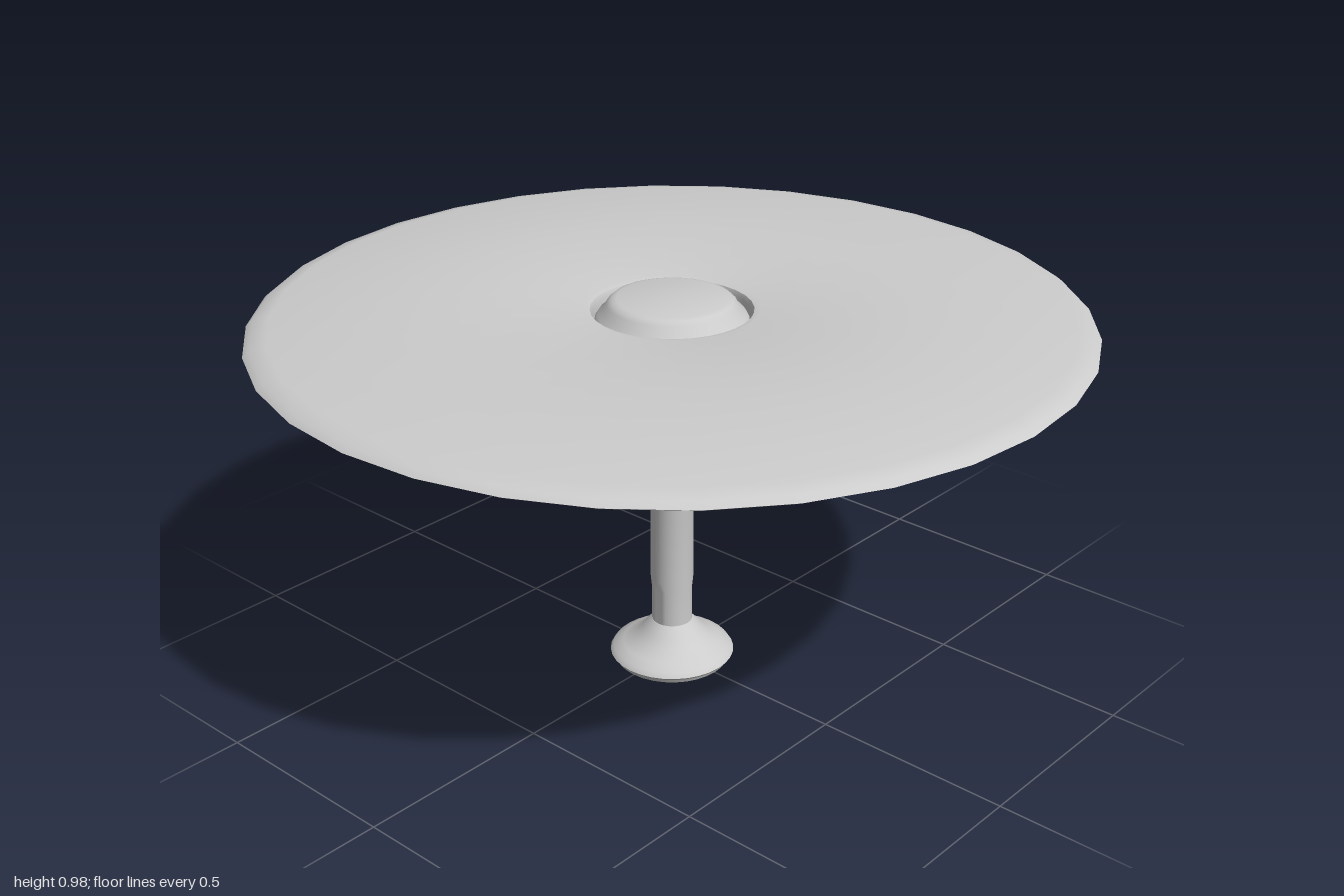
import * as THREE from 'three';
import { toCreasedNormals } from 'three/addons/utils/BufferGeometryUtils.js';

const material = new THREE.MeshStandardMaterial({ color: 0xcccccc });

// Turned part: profile of [radius, height] pairs, running up the outside
function turned(name, profile, crease = 0.6) {
  const points = profile.map(([r, y]) => new THREE.Vector2(r, y));
  const geometry = toCreasedNormals(new THREE.LatheGeometry(points, 32), crease);
  const mesh = new THREE.Mesh(geometry, material);
  mesh.name = name;
  return mesh;
}

export function createModel() {
  const model = new THREE.Group();
  model.name = 'pedestalTable';

  // Flared foot with a flat underside
  model.add(turned('foot', [
    [0, 0.005], [0.13, 0.005], [0.15, 0.01], [0.158, 0.018], [0.15, 0.03],
    [0.125, 0.043], [0.095, 0.06], [0.075, 0.082], [0.052, 0.108], [0, 0.108],
  ]));
  // Thin pad closing the foot to the floor
  model.add(turned('footPad', [[0, 0], [0.145, 0], [0.15, 0.01], [0, 0.01]]));

  // Slim column that widens into a collar
  model.add(turned('column', [
    [0.051, 0.1], [0.051, 0.2], [0.054, 0.23], [0.054, 0.6],
    [0.064, 0.64], [0.077, 0.685], [0.098, 0.73], [0.11, 0.765], [0, 0.765],
  ]));

  // Cup under the top
  model.add(turned('cup', [
    [0, 0.762], [0.114, 0.762], [0.122, 0.775], [0.145, 0.81],
    [0.16, 0.843], [0.165, 0.86], [0.165, 0.885], [0, 0.885],
  ]));

  // Wide thin top with a tapered underside and a central opening
  model.add(turned('tableTop', [
    [0.155, 0.874], [0.18, 0.874], [0.33, 0.888], [0.6, 0.898], [0.95, 0.909],
    [0.98, 0.915], [1, 0.926], [0.985, 0.938], [0.945, 0.948],
    [0.6, 0.953], [0.21, 0.954], [0.195, 0.95], [0.19, 0.938], [0.19, 0.9], [0.155, 0.874],
  ]));

  // Raised centre cap set into the opening
  model.add(turned('centreCap', [
    [0.18, 0.89], [0.184, 0.925], [0.177, 0.937], [0.163, 0.949],
    [0.155, 0.964], [0.145, 0.973], [0.132, 0.977], [0, 0.977],
  ]));

  return model;
}
